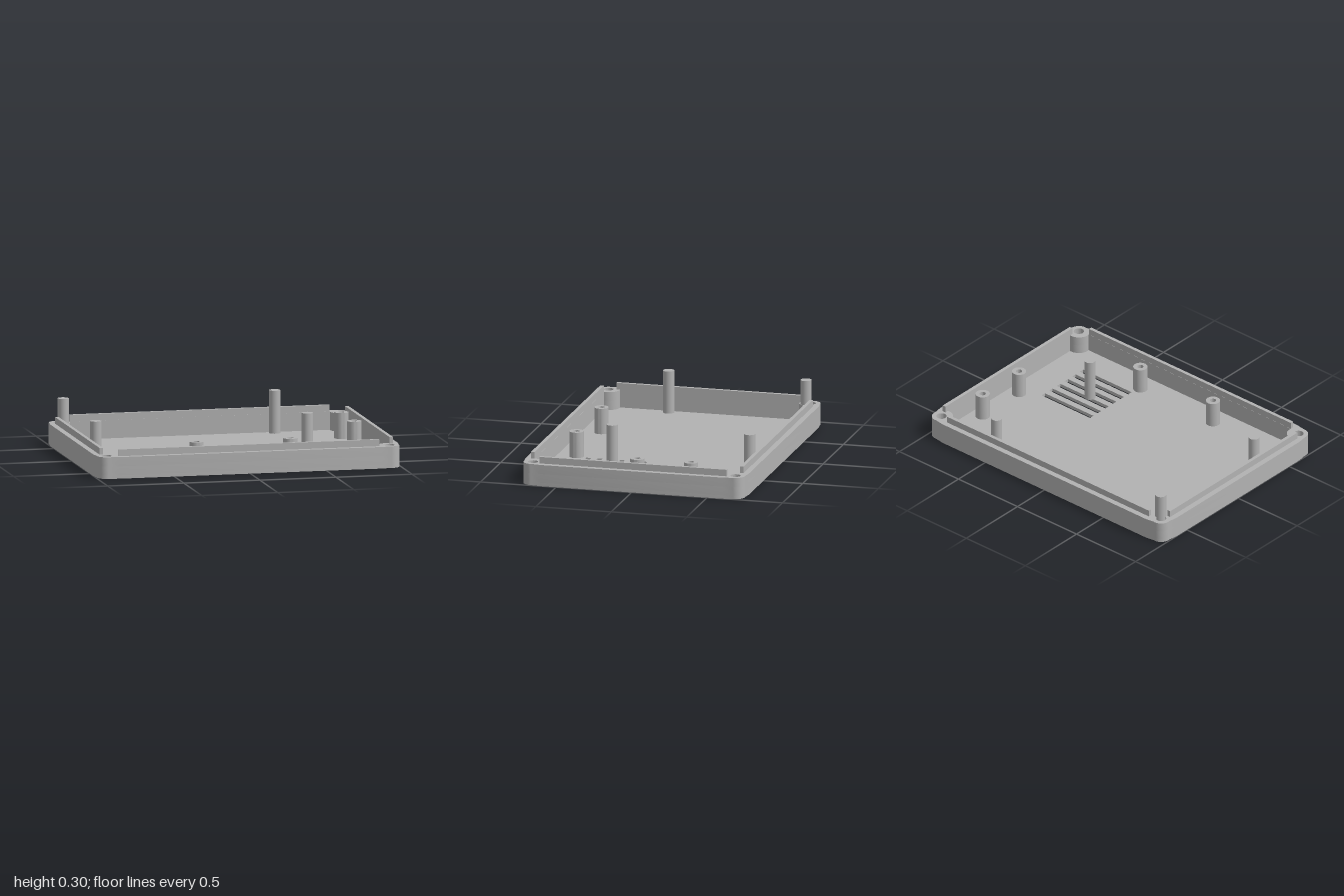
import * as THREE from 'three';
import { toCreasedNormals } from 'three/addons/utils/BufferGeometryUtils.js';

const FLOOR = 0.022, BORE_TOP = 0.08, RIM = 0.14, LIP_TOP = 0.183;
const CX = 0.93, CZ = 0.67; // corner screw centres
const CORNERS = [[1, 1], [-1, 1], [-1, -1], [1, -1]];

// Closed outline made by repeating one corner's offsets, turned a quarter each time
function cornerLoop(offsets) {
  const pts = [];
  CORNERS.forEach(([sx, sy], k) => {
    const turn = k * Math.PI / 2;
    for (const p of offsets) {
      const q = p.clone().rotateAround(new THREE.Vector2(), turn);
      pts.push(new THREE.Vector2(sx * CX + q.x, sy * CZ + q.y));
    }
  });
  return pts;
}

function arc(r, a0, a1, n) {
  const pts = [];
  for (let i = 0; i <= n; i++) {
    const a = a0 + (a1 - a0) * i / n;
    pts.push(new THREE.Vector2(r * Math.cos(a), r * Math.sin(a)));
  }
  return pts;
}

function circle(x, y, r) {
  return new THREE.Path().absarc(x, y, r, 0, Math.PI * 2, true);
}

function rectPath(x0, x1, y0, y1) {
  return new THREE.Path([[x0, y0], [x0, y1], [x1, y1], [x1, y0]].map(p => new THREE.Vector2(...p)));
}

// Extrude a plan shape upward from y0 to y1 (plan y becomes -z)
function slab(shape, y0, y1) {
  const g = new THREE.ExtrudeGeometry(shape, { depth: y1 - y0, bevelEnabled: false, curveSegments: 20 });
  g.rotateX(-Math.PI / 2).translate(0, y0, 0);
  return toCreasedNormals(g, 0.5);
}

export function createModel() {
  const group = new THREE.Group();
  const grey = new THREE.MeshStandardMaterial({ color: 0xb2b2b2 });
  grey.name = 'grey plastic';
  const add = (name, geometry, x = 0, y = 0, z = 0) => {
    const mesh = new THREE.Mesh(geometry, grey);
    mesh.name = name;
    mesh.position.set(x, y, z);
    group.add(mesh);
  };

  // Outer plan with slightly pulled-in rounded corners
  const outer = cornerLoop([
    new THREE.Vector2(0.07, -0.07),
    ...arc(0.062, -0.15, Math.PI / 2 + 0.15, 14),
    new THREE.Vector2(-0.07, 0.07),
  ]);
  // Cavity plan, bulging inward around the corner screw bosses
  const a = Math.acos(0.01 / 0.075);
  const cavity = cornerLoop(arc(0.075, -a, a - 1.5 * Math.PI, 14));

  const plan = (holeRadius, extraHoles) => {
    const s = new THREE.Shape(outer);
    for (const [sx, sy] of CORNERS) s.holes.push(circle(sx * CX, sy * CZ, holeRadius));
    s.holes.push(...extraHoles);
    return s;
  };

  // Floor with six ventilation slots
  const slots = [];
  for (let i = 0; i < 6; i++) {
    const z = 0.093 + i * 0.0745;
    slots.push(rectPath(0.32, 0.73, -z - 0.0165, -z + 0.0165));
  }
  add('floor', slab(plan(0.055, slots), 0, FLOOR));

  // Walls: wide screw recess below, narrow screw hole above
  add('lowerWall', slab(plan(0.055, [new THREE.Path(cavity)]), FLOOR, BORE_TOP));
  add('upperWall', slab(plan(0.033, [new THREE.Path(cavity)]), BORE_TOP, RIM));

  // Raised locating lip on each side, stopping short of the corners
  const lipH = LIP_TOP - RIM, lipY = (LIP_TOP + RIM) / 2, t = 0.023;
  for (const s of [-1, 1]) {
    add('sideLip', new THREE.BoxGeometry(t, lipH, 1.24), s * 0.9515, lipY, 0);
    add('endLip', new THREE.BoxGeometry(1.71, lipH, t), 0, lipY, s * 0.6925);
  }

  // Tall locating pins
  const pinH = 0.3 - FLOOR;
  for (const x of [-0.905, 0.485]) {
    for (const z of [-0.645, 0.265]) {
      add('pin', new THREE.CylinderGeometry(0.036, 0.036, pinH, 32), x, FLOOR + pinH / 2, z);
    }
  }

  // Hollow screw standoffs
  const ring = new THREE.Shape().absarc(0, 0, 0.046, 0, Math.PI * 2, false);
  ring.holes.push(circle(0, 0, 0.02));
  const standoff = slab(ring, FLOOR, 0.19);
  for (const [x, z] of [[0.855, -0.355], [0.855, 0], [-0.31, 0.55], [0.305, 0.55]]) {
    add('standoff', standoff, x, 0, z);
  }
  return group;
}
